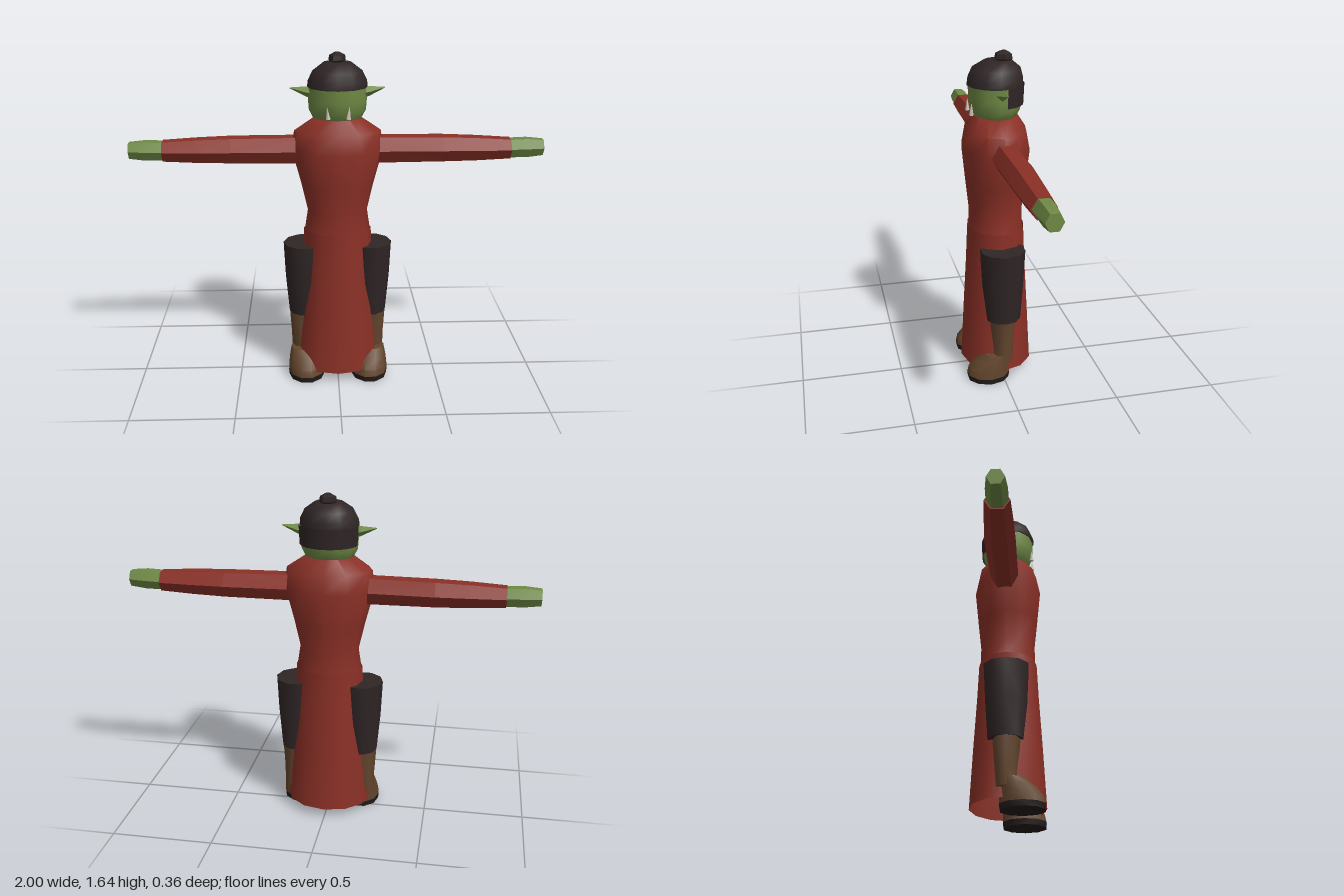
import * as THREE from 'three';
import { toCreasedNormals } from 'three/addons/utils/BufferGeometryUtils.js';

const mat = (name, color) => {
  const m = new THREE.MeshStandardMaterial({ color, side: THREE.DoubleSide });
  m.name = name;
  return m;
};

// Skin through elliptical rings [y, rx, rz, cx, cz], listed bottom to top
function loft(rings, sides, { crease = 0.9, caps = true, phase = 0 } = {}) {
  const pos = [], idx = [];
  for (const [y, rx, rz, cx = 0, cz = 0] of rings) {
    for (let i = 0; i < sides; i++) {
      const a = phase + (i / sides) * Math.PI * 2;
      pos.push(cx + rx * Math.cos(a), y, cz + rz * Math.sin(a));
    }
  }
  for (let r = 0; r < rings.length - 1; r++) {
    for (let i = 0; i < sides; i++) {
      const a = r * sides + i, b = r * sides + (i + 1) % sides;
      idx.push(a, a + sides, b, b, a + sides, b + sides);
    }
  }
  if (caps) {
    const top = (rings.length - 1) * sides;
    for (let i = 1; i < sides - 1; i++) {
      idx.push(0, i, i + 1, top, top + i + 1, top + i);
    }
  }
  const g = new THREE.BufferGeometry();
  g.setAttribute('position', new THREE.Float32BufferAttribute(pos, 3));
  g.setIndex(idx);
  return toCreasedNormals(g, crease);
}

// Mirrored copy across x = 0 with the triangle order corrected
function mirrored(source) {
  const g = source.index ? source.toNonIndexed() : source.clone();
  g.scale(-1, 1, 1);
  for (const key of ['position', 'normal']) {
    const at = g.attributes[key], p = new THREE.Vector3(), q = new THREE.Vector3();
    for (let i = 0; i < at.count; i += 3) {
      p.fromBufferAttribute(at, i + 1);
      q.fromBufferAttribute(at, i + 2);
      at.setXYZ(i + 1, q.x, q.y, q.z);
      at.setXYZ(i + 2, p.x, p.y, p.z);
    }
  }
  g.computeBoundingSphere();
  return g;
}

export function createModel() {
  const model = new THREE.Group();
  const red = mat('robe red', 0x8a3026);
  const green = mat('green skin', 0x6f8a45);
  const dark = mat('dark hair and cloth', 0x2f2525);
  const brown = mat('boot leather', 0x62452d);
  const sole = mat('sole black', 0x231b1b);
  const ivory = mat('tusk ivory', 0xc9c5b4);

  const add = (name, geometry, material) => {
    const mesh = new THREE.Mesh(geometry, material);
    mesh.name = name;
    model.add(mesh);
  };
  const pair = (name, geometry, material) => {
    add('left' + name, geometry, material);
    add('right' + name, mirrored(geometry), material);
  };

  // Robe: fitted top and an open, flared skirt
  add('robeTop', loft([
    [0.76, 0.163, 0.136], [0.87, 0.146, 0.133], [1.0, 0.175, 0.147],
    [1.18, 0.222, 0.165], [1.27, 0.208, 0.147], [1.335, 0.112, 0.105],
  ], 12), red);
  add('robeSkirt', loft([
    [0.05, 0.213, 0.181], [0.35, 0.19, 0.165], [0.6, 0.173, 0.15], [0.775, 0.166, 0.142],
  ], 12, { caps: false }), red);

  // Head, hair and topknot
  add('head', loft([
    [1.32, 0.105, 0.09], [1.335, 0.118, 0.1], [1.37, 0.136, 0.12],
    [1.42, 0.14, 0.13], [1.49, 0.138, 0.131],
  ], 12), green);
  add('hairCap', loft([
    [1.48, 0.143, 0.136], [1.51, 0.14, 0.134], [1.555, 0.118, 0.118, 0, -0.004],
    [1.592, 0.068, 0.066, 0, -0.013],
  ], 12), dark);
  const nape = new THREE.CylinderGeometry(1, 0.97, 0.095, 9, 1, true, 1.79, 2.7);
  nape.scale(0.146, 1, 0.138).translate(0, 1.4375, 0);
  add('hairNape', nape, dark);
  add('topknot', loft([
    [1.58, 0.03, 0.03, 0, -0.04], [1.6, 0.041, 0.045, 0, -0.04],
    [1.622, 0.038, 0.04, 0, -0.04], [1.636, 0.012, 0.012, 0, -0.04],
  ], 6, { crease: 0.3 }), dark);

  // Pointed ears, flat along the top
  const ear = loft([
    [0.12, 0.03, 0.03, -1.452, 0], [0.15, 0.024, 0.026, -1.456, -0.004],
    [0.226, 0.002, 0.002, -1.473, -0.008],
  ], 4, { crease: 0.1 }).rotateZ(-Math.PI / 2);
  pair('Ear', ear, green);

  // Tusks at the mouth
  const tusk = new THREE.ConeGeometry(0.012, 0.06, 5);
  tusk.rotateZ(-0.1).translate(0.05, 1.378, 0.124);
  pair('Tusk', tusk, ivory);

  // Six-sided sleeves and hands, lofted upright then laid along x
  const limb = (rings) => loft(
    rings.map(([x, ry, rz, y, z]) => [x, ry, rz, -y, z]), 6,
    { crease: 0.2, phase: Math.PI / 6 + Math.PI / 3 },
  ).rotateZ(-Math.PI / 2);
  pair('UpperSleeve', limb([
    [0.15, 0.073, 0.068, 1.175, -0.008], [0.51, 0.069, 0.073, 1.175, -0.012],
  ]), red);
  pair('LowerSleeve', limb([
    [0.51, 0.069, 0.073, 1.175, -0.012], [0.67, 0.064, 0.067, 1.174, -0.009],
    [0.84, 0.054, 0.058, 1.173, -0.007],
  ]), red);
  pair('Hand', limb([
    [0.835, 0.05, 0.05, 1.174, -0.006], [0.92, 0.052, 0.049, 1.176, -0.005],
    [1.0, 0.043, 0.04, 1.177, -0.004],
  ]), green);

  // Legs: wide trousers, boot shaft, foot and sole
  pair('Trouser', loft([
    [0.33, 0.08, 0.086, 0.165, -0.003], [0.52, 0.096, 0.102, 0.165, 0],
    [0.7, 0.104, 0.111, 0.165, 0],
  ], 10), dark);
  pair('BootShaft', loft([
    [0.1, 0.054, 0.05, 0.18, 0], [0.2, 0.057, 0.055, 0.178, 0],
    [0.34, 0.069, 0.065, 0.175, 0.002],
  ], 8), brown);
  pair('BootFoot', loft([
    [0.025, 0.092, 0.108, 0.16, 0.073], [0.06, 0.09, 0.104, 0.161, 0.069],
    [0.1, 0.082, 0.087, 0.164, 0.052], [0.14, 0.064, 0.064, 0.174, 0.03],
  ], 10, { crease: 0.7 }), brown);
  pair('BootSole', loft([
    [0, 0.09, 0.106, 0.16, 0.073], [0.027, 0.093, 0.109, 0.16, 0.073],
  ], 10), sole);

  return model;
}
